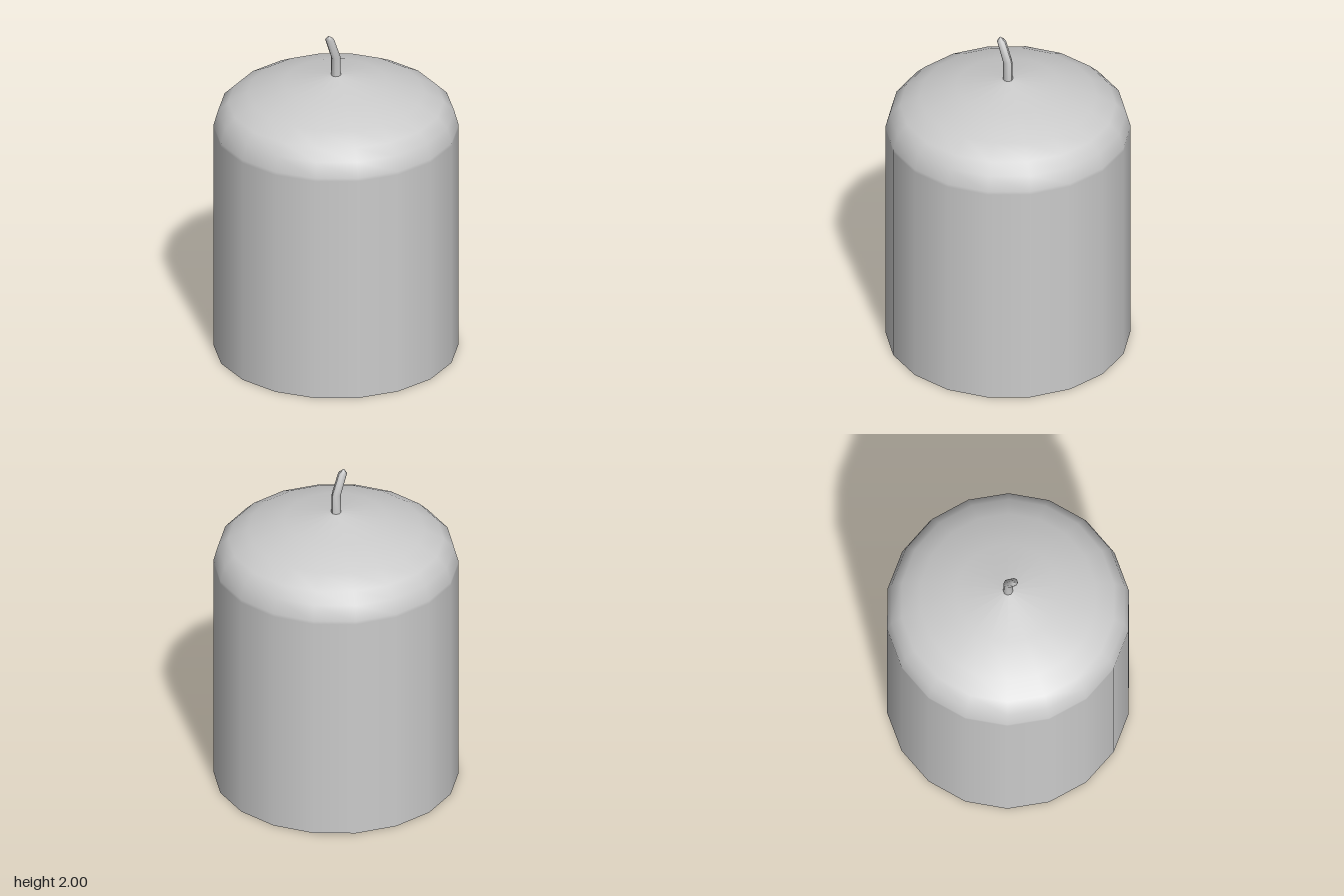
import * as THREE from 'three';

const material = new THREE.MeshStandardMaterial({ color: 0xcccccc });

// Turned shape from [radius, height] pairs, with a corner on the x axis
function turned(name, profile, sides) {
  const points = profile.map(([r, y]) => new THREE.Vector2(r, y));
  const mesh = new THREE.Mesh(new THREE.LatheGeometry(points, sides, Math.PI / 2), material);
  mesh.name = name;
  return mesh;
}

export function createModel() {
  const group = new THREE.Group();
  group.name = 'candle';

  // Wax body: straight wall, rounded shoulder, shallow cone top
  group.add(turned('waxBody', [
    [0.705, 0], [0.705, 1.39], [0.705, 1.41], [0.68, 1.5], [0.62, 1.56],
    [0.51, 1.62], [0.3, 1.688], [0, 1.737],
  ], 18));

  // Flat base, separate so its rim stays sharp
  group.add(turned('base', [[0, 0], [0.705, 0]], 18));

  // Wick: upright stem that bends towards -x, with a short pointed tip
  const wick = turned('wick', [[0.029, 1.7], [0.026, 1.85], [0.026, 1.975], [0, 2]], 8);
  const pos = wick.geometry.attributes.position;
  for (let i = 0; i < pos.count; i++) {
    const x = pos.getX(i), y = pos.getY(i);
    if (y > 1.9) pos.setX(i, x - (y - 1.85) * 0.39);
    else if (y > 1.8) pos.setXY(i, x - 0.002, y + x * 0.3);
  }
  wick.geometry.computeVertexNormals();
  group.add(wick);

  return group;
}
